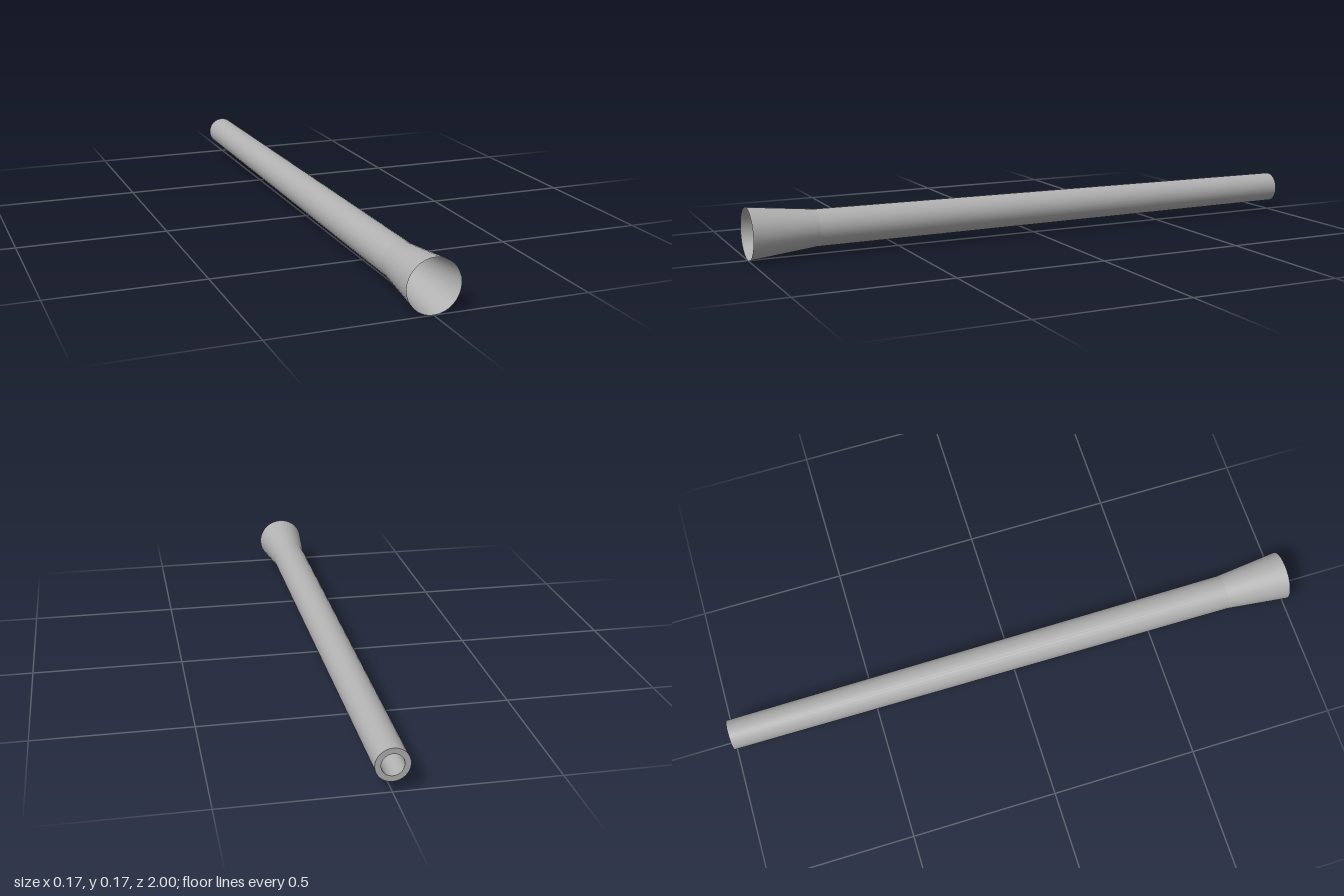
import * as THREE from 'three';

export function createModel() {
  const group = new THREE.Group();
  group.name = 'flaredTube';
  const metal = new THREE.MeshStandardMaterial({ color: 0xb2b2b2, side: THREE.DoubleSide });
  metal.name = 'grey metal';

  // Revolves a [radius, z] profile around the long axis
  const turned = (name, profile) => {
    const geometry = new THREE.LatheGeometry(profile.map(([r, z]) => new THREE.Vector2(r, z)), 32);
    geometry.rotateX(Math.PI / 2);
    const mesh = new THREE.Mesh(geometry, metal);
    mesh.name = name;
    mesh.position.y = 0.085;
    group.add(mesh);
  };

  // Thin outer shell: long tapered barrel and open flared muzzle
  turned('barrel', [[0.052, -1], [0.061, 0.78]]);
  turned('flaredMuzzle', [[0.061, 0.78], [0.085, 1]]);

  // Rear end: flat rim around a closed, slightly tapered socket
  turned('rearRim', [[0.034, -1], [0.052, -1]]);
  turned('rearSocket', [[0.031, -0.8], [0.034, -1]]);
  turned('socketFloor', [[0, -0.8], [0.031, -0.8]]);

  return group;
}
